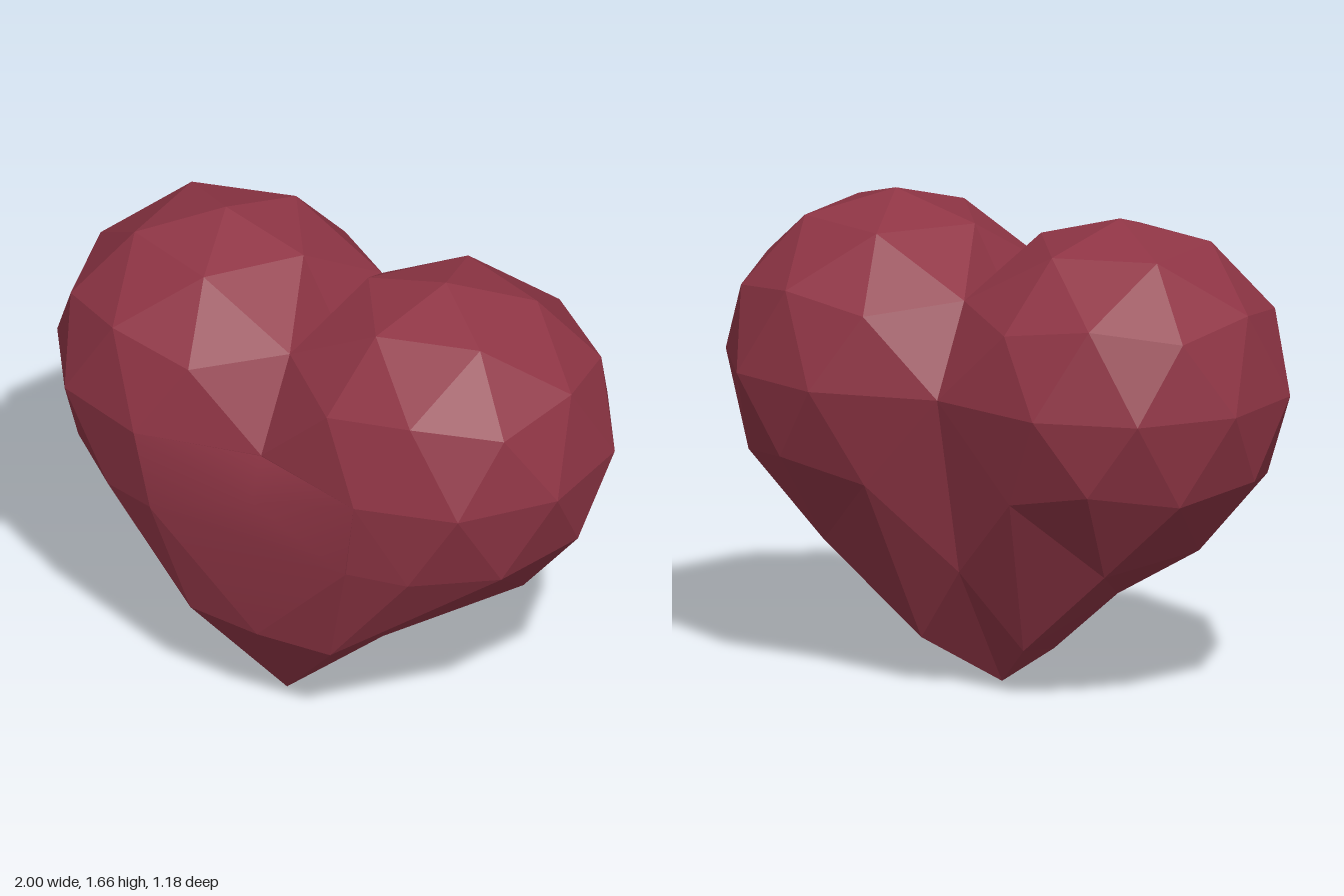
import * as THREE from 'three';

const V = (x, y, z) => new THREE.Vector3(x, y, z);
const R = 0.59;

// Vertices of the round lobe that are pulled into the lower body: [from, to]
const pulls = [
  [V(0.60, 0.81, 0.50), V(0.60, 0.76, 0.50)],     // front cheek
  [V(0.28, 0.76, 0.48), V(0.39, 0.77, 0.56)],     // front belly
  [V(0.54, 0.57, 0.30), V(0.28, 0.36, 0.48)],     // lower front corner
  [V(0.01, 0.81, 0.31), V(0, 0.36, 0.50)],        // lower front middle
  [V(0.19, 0.57, 0.18), V(0, 0.04, 0.31)],        // front tip
  [V(-0.06, 0.76, 0), V(0, 0, -0.04)],            // bottom tip
  [V(0.19, 0.57, -0.18), V(0.20, 0.17, -0.24)],   // lower back corner
  [V(0.01, 0.81, -0.31), V(0, 0.44, -0.33)],      // lower back middle
  [V(0.28, 0.76, -0.48), V(0.285, 0.74, -0.48)],  // back belly
  [V(0.54, 0.57, -0.30), V(0.55, 0.48, -0.295)],  // back flank
  [V(0.75, 0.57, 0), V(0.75, 0.54, 0)],           // side flank
  [V(0.44, 0.48, 0), V(0.43, 0.35, 0)],           // underside
];

// Builds an unindexed geometry from corner triples
function fromTriangles(points) {
  const geo = new THREE.BufferGeometry().setFromPoints(points);
  geo.computeVertexNormals();
  return geo;
}

// One half: geodesic sphere, flattened on the middle plane and drawn to a tip
function halfGeometry() {
  const ball = new THREE.IcosahedronGeometry(R, 1);
  ball.rotateZ(Math.atan(2 / (1 + Math.sqrt(5))));
  ball.translate(0.44, 1.07, 0);
  const pos = ball.attributes.position;
  const kept = [];
  for (let i = 0; i < pos.count; i += 3) {
    const tri = [0, 1, 2].map((k) => {
      const p = new THREE.Vector3().fromBufferAttribute(pos, i + k);
      const pull = pulls.find(([from]) => from.distanceTo(p) < 0.05);
      if (pull) return pull[1].clone();
      if (p.x < 0.1) p.x = 0;
      return p;
    });
    // Faces lying in the middle plane are inside the heart
    if (tri.some((p) => p.x > 0.001)) kept.push(...tri);
  }
  return fromTriangles(kept);
}

// Front panel corners (left half)
const P = {
  notch: V(0, 1.07, 0.48), crown: V(0.44, 1.07, 0.59),
  chest: V(0, 0.92, 0.545), middle: V(0, 0.77, 0.565),
  belly: V(0.39, 0.77, 0.565), cheek: V(0.60, 0.76, 0.50),
  low: V(0, 0.36, 0.505), corner: V(0.28, 0.36, 0.483), tip: V(0, 0.04, 0.312),
};

// Softly shaded bulge bridging the two lobes
function bridgeGeometry() {
  const names = ['notch', 'crown', 'chest', 'middle', 'belly', 'low'];
  const pts = names.map((n) => P[n]);
  // Mirrored copies of the two off-centre corners
  pts.push(V(-P.crown.x, P.crown.y, P.crown.z), V(-P.belly.x, P.belly.y, P.belly.z));
  const geo = new THREE.BufferGeometry().setFromPoints(pts);
  const left = [0, 2, 1, 2, 4, 1, 2, 3, 4, 3, 5, 4];
  const flip = { 1: 6, 4: 7 };
  const right = [];
  for (let i = 0; i < left.length; i += 3) {
    right.push(...[left[i], left[i + 2], left[i + 1]].map((k) => flip[k] ?? k));
  }
  geo.setIndex([...left, ...right]);
  geo.computeVertexNormals();
  return geo;
}

// Flat facets running down to the front tip
function facetGeometry() {
  return fromTriangles([
    P.low, P.corner, P.belly,
    P.belly, P.corner, P.cheek,
    P.low, P.tip, P.corner,
  ]);
}

export function createModel() {
  const group = new THREE.Group();
  group.name = 'heart';
  const flat = new THREE.MeshStandardMaterial({ color: 0x8f3545, flatShading: true });
  const smooth = new THREE.MeshStandardMaterial({ color: 0x8f3545 });

  const lobe = halfGeometry();
  const facets = facetGeometry();
  for (const [side, s] of [['left', 1], ['right', -1]]) {
    const half = new THREE.Group();
    half.name = side + 'Half';
    const body = new THREE.Mesh(lobe, flat);
    body.name = side + 'Lobe';
    const front = new THREE.Mesh(facets, flat);
    front.name = side + 'FrontFacets';
    half.add(body, front);
    half.scale.x = s;
    group.add(half);
  }

  const bridge = new THREE.Mesh(bridgeGeometry(), smooth);
  bridge.name = 'frontBridge';
  group.add(bridge);
  return group;
}
